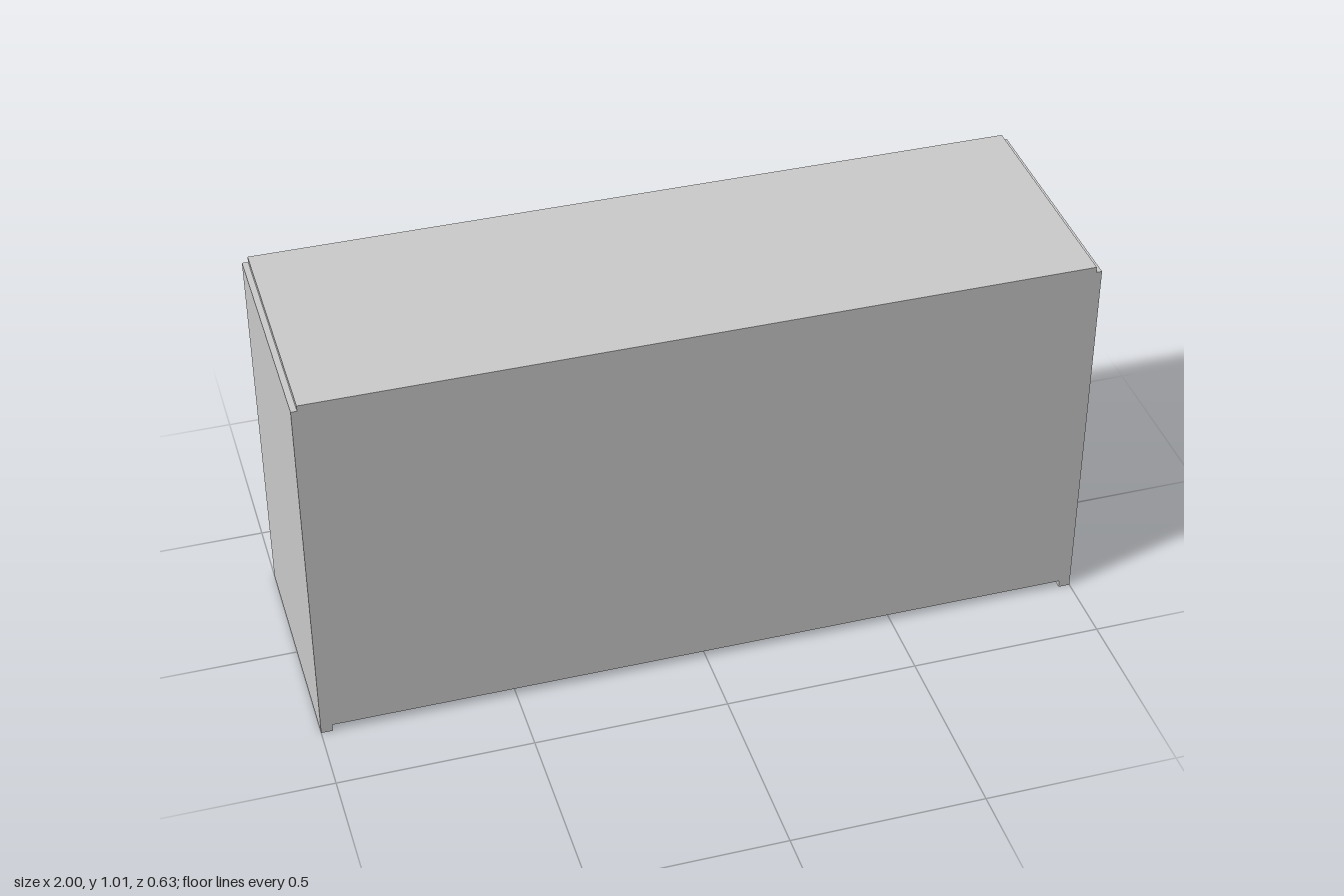
import * as THREE from 'three';

const material = new THREE.MeshStandardMaterial({ color: 0xcccccc, flatShading: true });
const X = 1, DEPTH = 0.63, T = 0.03;      // half length, full depth, panel thickness
const INNER_X = X - T, INNER_Z = DEPTH / 2 - T;
const CEILING = 0.985;

export function createModel() {
  const group = new THREE.Group();
  group.name = 'openBottomBox';

  const add = (name, geometry, x = 0, y = 0, z = 0) => {
    const mesh = new THREE.Mesh(geometry, material);
    mesh.name = name;
    mesh.position.set(x, y, z);
    group.add(mesh);
  };

  // End panels and top panel as one stepped profile run through the depth
  const half = [[INNER_X, CEILING], [INNER_X, 0], [X, 0], [X, 1], [0.985, 1], [0.985, 1.015]];
  const outline = [...half, ...half.map(([x, y]) => [-x, y]).reverse()];
  const shape = new THREE.Shape(outline.map(([x, y]) => new THREE.Vector2(x, y)));
  const shell = new THREE.ExtrudeGeometry(shape, { depth: DEPTH, bevelEnabled: false });
  add('endsAndTop', shell, 0, 0, -DEPTH / 2);

  // Long walls stop slightly above the feet of the end panels
  const wallBottom = 0.02, wallHeight = CEILING - wallBottom;
  // Small square plates on the inside: upright on the walls, flat in the corners
  const P = 0.16, thin = 0.02, plateY = 0.34;

  for (const s of [1, -1]) {
    add(s > 0 ? 'frontWall' : 'backWall',
      new THREE.BoxGeometry(INNER_X * 2, wallHeight, T),
      0, wallBottom + wallHeight / 2, s * (DEPTH - T) / 2);

    for (const side of [1, -1]) {
      add('wallPlate', new THREE.BoxGeometry(P, P, thin),
        side * 0.4, plateY + P / 2, s * (INNER_Z - thin / 2));
      add('cornerPlate', new THREE.BoxGeometry(P, thin, P),
        side * (INNER_X - P / 2), plateY + thin / 2, s * (INNER_Z - P / 2));
    }
  }
  return group;
}
